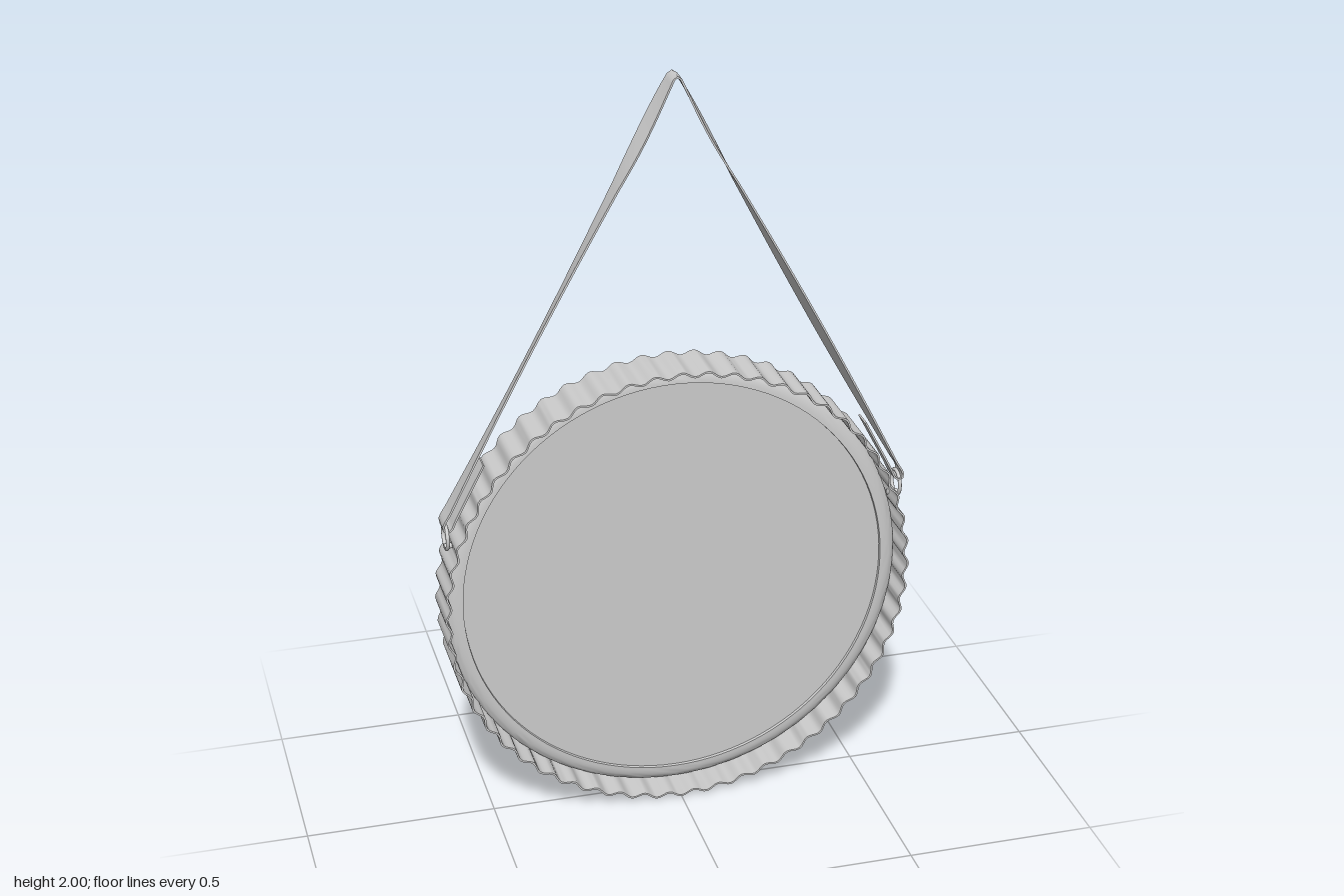
import * as THREE from 'three';
import { toCreasedNormals } from 'three/addons/utils/BufferGeometryUtils.js';

const CENTRE_Y = 0.6225;

// Wavy closed outline around the disc
function wavyLoop(Type, radius) {
  const points = [];
  const waves = 56, steps = waves * 8;
  for (let i = 0; i < steps; i++) {
    const a = (i / steps) * Math.PI * 2;
    const r = radius + 0.0065 * Math.cos(a * waves);
    points.push(new THREE.Vector2(r * Math.cos(a), r * Math.sin(a)));
  }
  return new Type(points);
}

// Twist of the strap at a distance s from its peak (0) to its end (1)
function strapTwist(s) {
  if (s < 0.21) return 0.2 * Math.sin(Math.PI * s / 0.21);
  return s < 0.83 ? -0.25 * Math.sin(Math.PI * (s - 0.21) / 0.62) : 0;
}

// Thin strap swept along a path, with a gentle twist
function strapGeometry() {
  const right = [
    [0.005, 1.996], [0.018, 1.975], [0.1, 1.815], [0.2, 1.63], [0.35, 1.352], [0.5, 1.074],
    [0.59, 0.907], [0.61, 0.87], [0.605, 0.855], [0.592, 0.857], [0.575, 0.89], [0.502, 1.03],
  ];
  const left = right.map(([x, y]) => [-x, y]).reverse();
  const curve = new THREE.CatmullRomCurve3(
    [...left, ...right].map(([x, y]) => new THREE.Vector3(x, y, 0)));
  curve.arcLengthDivisions = 800;

  const geometry = new THREE.BoxGeometry(1, 0.005, 0.056, 240, 1, 1);
  const pos = geometry.attributes.position;
  for (let i = 0; i < pos.count; i++) {
    const t = THREE.MathUtils.clamp(pos.getX(i) + 0.5, 0, 1);
    const p = curve.getPointAt(t), d = curve.getTangentAt(t);
    const twist = strapTwist(Math.abs(2 * t - 1));
    const n = pos.getY(i) * Math.cos(twist) - pos.getZ(i) * Math.sin(twist);
    const b = pos.getY(i) * Math.sin(twist) + pos.getZ(i) * Math.cos(twist);
    const drift = 0.009 * THREE.MathUtils.smoothstep(t, 0.5, 0.85);
    pos.setXYZ(i, p.x - d.y * n, p.y + d.x * n, b + drift - 0.001);
  }
  geometry.computeVertexNormals();
  return geometry;
}

export function createModel() {
  const grey = new THREE.MeshStandardMaterial({ color: 0xcccccc });
  grey.name = 'plain grey';
  const model = new THREE.Group();
  model.name = 'hangingMirror';

  function add(name, geometry, parent = model) {
    const mesh = new THREE.Mesh(geometry, grey);
    mesh.name = name;
    parent.add(mesh);
    return mesh;
  }

  // Fluted band around the edge
  const bandShape = wavyLoop(THREE.Shape, 0.616);
  bandShape.holes.push(wavyLoop(THREE.Path, 0.611));
  const band = new THREE.ExtrudeGeometry(bandShape, { depth: 0.144, bevelEnabled: false });
  band.translate(0, 0, -0.072);
  add('flutedBand', toCreasedNormals(band, 0.9)).position.y = CENTRE_Y;

  // Frame ring inside the band: low step at the glass, rounding off outwards
  const profile = [];
  for (const [side, z] of [[-1, -0.04], [1, 0]]) {
    const half = [new THREE.Vector2(0.563, z)];
    for (let i = 0; i <= 8; i++) {
      const a = (i / 8) * Math.PI / 2;
      half.push(new THREE.Vector2(0.564 + 0.044 * Math.sin(a), z + side * (0.026 * Math.cos(a) - 0.018)));
    }
    profile.push(...(side < 0 ? half : half.reverse()));
  }
  const frame = new THREE.LatheGeometry(profile, 112);
  frame.rotateX(Math.PI / 2);
  add('frameRing', toCreasedNormals(frame, 0.8)).position.y = CENTRE_Y;

  // Mirror disc, set deeper at the front than at the back
  const disc = new THREE.CylinderGeometry(0.565, 0.565, 0.04, 112);
  disc.rotateX(Math.PI / 2);
  add('mirrorDisc', disc).position.set(0, CENTRE_Y, -0.02);

  // Hanging strap, folded back through a ring at each end
  add('strap', strapGeometry());

  // Strap rings and their studs
  for (const side of [-1, 1]) {
    const mount = new THREE.Group();
    mount.name = side > 0 ? 'leftMount' : 'rightMount';
    mount.position.set(side * 0.602, 0.834, 0.003);
    const ring = add('strapRing', new THREE.TorusGeometry(0.033, 0.005, 10, 32), mount);
    ring.rotation.y = Math.PI / 2;
    const stud = add('stud', new THREE.CylinderGeometry(0.007, 0.007, 0.03, 12), mount);
    stud.rotation.z = Math.PI / 2;
    stud.position.set(-side * 0.01, -0.028, 0);
    model.add(mount);
  }
  return model;
}
